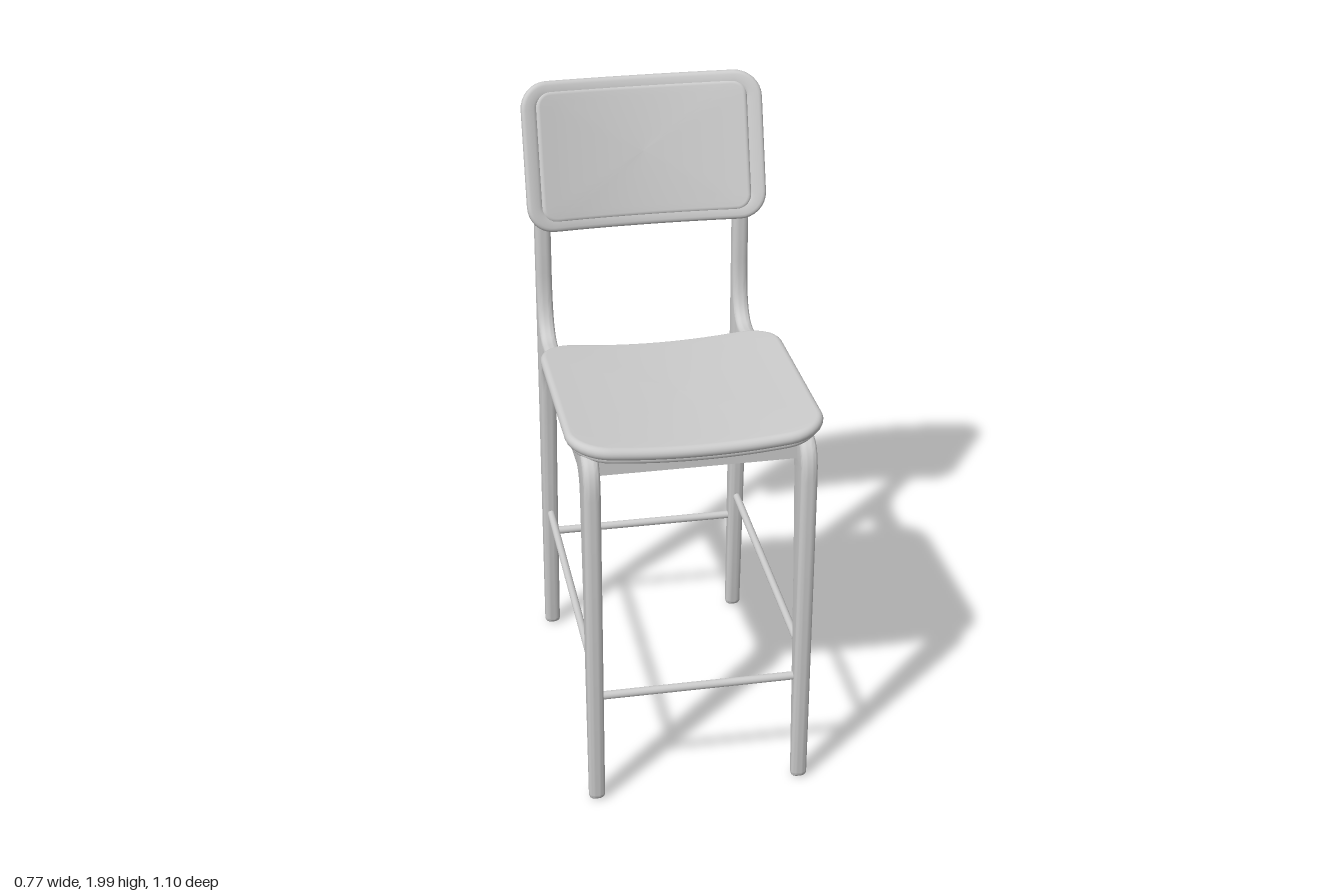
import * as THREE from 'three';
import { toCreasedNormals } from 'three/addons/utils/BufferGeometryUtils.js';

const finish = new THREE.MeshStandardMaterial({ color: 0xcccccc });
finish.name = 'light grey';

// Rounded rectangle, counter-clockwise, with subdivided straight sides
function roundedOutline(hw, hh, r, arc = 8, side = 14) {
  const pts = [];
  const corners = [[1, 1], [-1, 1], [-1, -1], [1, -1]];
  corners.forEach(([sx, sy], q) => {
    const cx = sx * (hw - r), cy = sy * (hh - r);
    for (let i = 0; i <= arc; i++) {
      const a = (q + i / arc) * Math.PI / 2;
      pts.push([cx + r * Math.cos(a), cy + r * Math.sin(a)]);
    }
    const [nx, ny] = corners[(q + 1) % 4];
    const a = (q + 1) * Math.PI / 2;
    const end = [nx * (hw - r) + r * Math.cos(a), ny * (hh - r) + r * Math.sin(a)];
    const start = pts[pts.length - 1];
    for (let i = 1; i < side; i++) {
      const t = i / side;
      pts.push([start[0] + (end[0] - start[0]) * t, start[1] + (end[1] - start[1]) * t]);
    }
  });
  return pts;
}

// Skins a profile of [inset, height, scale] around a rounded rectangle; bend shifts the height
function skin(hw, hh, r, profile, closed, bend) {
  const pos = [], index = [];
  let n = 0;
  for (const [inset, h, s = 1] of profile) {
    const ring = roundedOutline(hw - inset, hh - inset, Math.max(r - inset, 0.005));
    n = ring.length;
    for (const [u, v] of ring) pos.push(u * s, v * s, h + bend(u * s, v * s));
  }
  const rows = profile.length;
  for (let i = 0; i < (closed ? rows : rows - 1); i++) {
    for (let j = 0; j < n; j++) {
      const k = (j + 1) % n, m = (i + 1) % rows;
      const a = i * n + j, b = i * n + k, c = m * n + k, d = m * n + j;
      index.push(a, b, c, a, c, d);
    }
  }
  const g = new THREE.BufferGeometry();
  g.setAttribute('position', new THREE.Float32BufferAttribute(pos, 3));
  g.setIndex(index);
  g.computeVertexNormals();
  return g;
}

// Solid slab profile with rounded edges and a slight crown on top
function slabProfile(low, high, round, crown = 0) {
  const p = [0, 0.25, 0.5, 0.75].map(s => [round, low, s]);
  const mid = (low + high) / 2, half = (high - low) / 2;
  for (let i = 0; i <= 10; i++) {
    const a = -Math.PI / 2 + Math.PI * i / 10;
    p.push([round * (1 - Math.cos(a)), mid + half * Math.sin(a)]);
  }
  for (const s of [0.9, 0.75, 0.5, 0.25, 0]) p.push([round, high + crown * (1 - s * s), s]);
  return p;
}

function add(parent, name, geometry) {
  const m = new THREE.Mesh(geometry, finish);
  m.name = name;
  parent.add(m);
  return m;
}

// One side: front leg, sloping rail and back post in a single outline (z, y)
function sideFrameGeometry() {
  const v = list => list.map(([z, y]) => new THREE.Vector2(z, y));
  const s = new THREE.Shape();
  s.moveTo(0.502, 0.02);
  s.quadraticCurveTo(0.505, 0, 0.521, 0);
  s.quadraticCurveTo(0.538, 0, 0.54, 0.02);
  s.lineTo(0.551, 1.08);
  s.bezierCurveTo(0.551, 1.17, 0.53, 1.215, 0.45, 1.213);
  s.lineTo(0, 1.185);
  s.lineTo(-0.34, 1.158);
  s.bezierCurveTo(-0.41, 1.155, -0.447, 1.2, -0.449, 1.34);
  s.splineThru(v([[-0.448, 1.5], [-0.45, 1.62], [-0.457, 1.74], [-0.468, 1.82]]));
  s.quadraticCurveTo(-0.474, 1.845, -0.485, 1.84);
  s.splineThru(v([[-0.494, 1.81], [-0.502, 1.66], [-0.502, 1.3], [-0.504, 0.95], [-0.519, 0.02]]));
  s.quadraticCurveTo(-0.515, 0, -0.498, 0);
  s.quadraticCurveTo(-0.481, 0, -0.479, 0.02);
  s.lineTo(-0.443, 0.6);
  s.lineTo(-0.408, 0.95);
  s.bezierCurveTo(-0.398, 1.03, -0.38, 1.062, -0.31, 1.068);
  s.lineTo(0, 1.094);
  s.lineTo(0.39, 1.12);
  s.quadraticCurveTo(0.437, 1.122, 0.442, 1.06);
  s.lineTo(0.466, 0.75);
  s.closePath();
  const depth = 0.012, bevel = 0.019;
  const g = new THREE.ExtrudeGeometry(s, {
    depth, bevelEnabled: true, bevelThickness: bevel, bevelSize: 0.014,
    bevelOffset: -0.014, bevelSegments: 5, curveSegments: 10,
  });
  g.translate(0, 0, -depth / 2);
  g.rotateY(-Math.PI / 2);
  return toCreasedNormals(g, 0.6);
}

function addRod(parent, name, from, to, radius) {
  const a = new THREE.Vector3(...from), b = new THREE.Vector3(...to);
  const rod = add(parent, name, new THREE.CylinderGeometry(radius, radius, a.distanceTo(b), 16));
  rod.position.copy(a).add(b).multiplyScalar(0.5);
  rod.quaternion.setFromUnitVectors(new THREE.Vector3(0, 1, 0), b.sub(a).normalize());
}

export function createModel() {
  const chair = new THREE.Group();
  chair.name = 'barChair';

  // Side frames and side stretchers
  const frame = sideFrameGeometry();
  for (const [side, sx] of [['left', 1], ['right', -1]]) {
    add(chair, side + 'SideFrame', frame).position.x = sx * 0.322;
    addRod(chair, side + 'Stretcher', [sx * 0.322, 0.463, 0.485], [sx * 0.322, 0.463, -0.46], 0.012);
  }

  // Cross stretchers and seat rails
  addRod(chair, 'frontStretcher', [-0.32, 0.375, 0.51], [0.32, 0.375, 0.51], 0.013);
  addRod(chair, 'backStretcher', [-0.32, 0.375, -0.485], [0.32, 0.375, -0.485], 0.013);
  add(chair, 'frontRail', new THREE.BoxGeometry(0.62, 0.07, 0.04)).position.set(0, 1.163, 0.46);
  add(chair, 'backRail', new THREE.BoxGeometry(0.62, 0.075, 0.04)).position.set(0, 1.127, -0.17);

  // Saddle-shaped seat: board below, cushion above
  const seat = new THREE.Group();
  seat.name = 'seat';
  seat.position.set(0, 1.19, 0.163);
  seat.rotation.x = -Math.PI / 2 - 0.04;
  seat.rotation.x = -Math.PI / 2 - 0.038;
  const dip = u => 0.03 * (u / 0.385) ** 2 - 0.008;
  add(seat, 'seatBoard', skin(0.37, 0.368, 0.11, slabProfile(-0.02, 0.006, 0.01), false, dip));
  add(seat, 'seatCushion', skin(0.384, 0.383, 0.12, slabProfile(-0.006, 0.034, 0.02, 0.004), false, dip));
  chair.add(seat);

  // Curved, reclined backrest: rounded frame around an upholstered pad
  const back = new THREE.Group();
  back.name = 'backrest';
  back.position.set(0, 1.753, -0.465);
  back.rotation.x = -0.29;
  const curve = u => 0.056 * (u / 0.38) ** 2;
  const ring = [];
  for (let i = 0; i < 20; i++) {
    const a = Math.PI * 2 * i / 20;
    const sq = t => Math.sign(t) * Math.abs(t) ** 0.65;
    ring.push([0.026 - 0.026 * sq(Math.cos(a)), 0.021 * sq(Math.sin(a))]);
  }
  add(back, 'backrestFrame', skin(0.381, 0.235, 0.085, ring, true, curve));
  add(back, 'backrestPad', skin(0.336, 0.208, 0.05, slabProfile(-0.012, 0.024, 0.016, 0.004), false, curve));
  chair.add(back);

  return chair;
}
